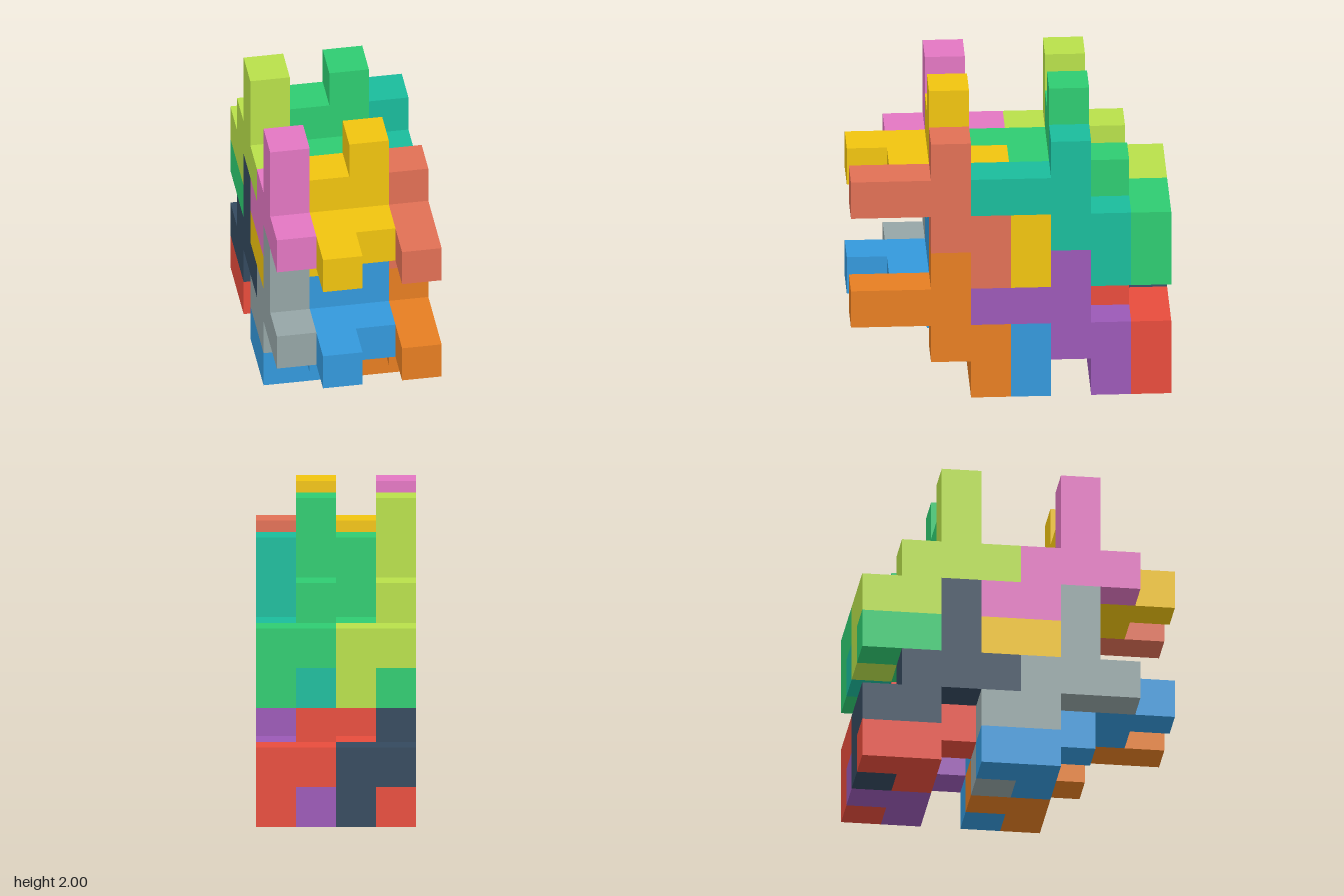
import * as THREE from 'three';
import { mergeGeometries } from 'three/addons/utils/BufferGeometryUtils.js';

const CELL = 0.25;

// Side profiles of one-cell-thick slices, as [y, z] cells.
const HOOK = [[2, 7], [2, 6], [2, 5], [1, 5], [3, 5], [1, 4], [0, 4]];
const STAIR = [[1, 3], [1, 4], [2, 4], [2, 5], [2, 6], [3, 5], [4, 5]];
const STUB = [[0, 3], [1, 3]];
const FOOT = [[0, 3], [0, 4]];
const PEG = [[0, 4], [0, 3]];

// Each interlocking piece: slice profile for every x column it occupies.
const PIECES = {
  core: [FOOT, HOOK, STAIR, STUB],
  leftClip: [[], [], PEG, HOOK],
  rightClip: [STAIR, STUB, [], []],
};

// Four copies: the lattice repeats every three cells upward and backward.
const COPIES = [
  { name: 'lowerFront', dy: 0, dz: 0, colors: { core: 0x3498db, leftClip: 0xe67e22, rightClip: 0x95a5a6 } },
  { name: 'lowerBack', dy: 0, dz: -3, colors: { core: 0xe74c3c, leftClip: 0x9b59b6, rightClip: 0x34495e } },
  { name: 'upperFront', dy: 3, dz: 0, colors: { core: 0xf1c40f, leftClip: 0xe17055, rightClip: 0xe377c2 } },
  { name: 'upperBack', dy: 3, dz: -3, colors: { core: 0x2ecc71, leftClip: 0x1abc9c, rightClip: 0xb8e04a } },
];

const DIRECTIONS = [[1, 0, 0], [-1, 0, 0], [0, 1, 0], [0, -1, 0], [0, 0, 1], [0, 0, -1]];

// One outward-facing square on a cell's side.
function cellFace(cell, dir) {
  const face = new THREE.PlaneGeometry(CELL, CELL);
  const normal = new THREE.Vector3(...dir);
  const turn = new THREE.Quaternion().setFromUnitVectors(new THREE.Vector3(0, 0, 1), normal);
  face.applyQuaternion(turn);
  const [x, y, z] = cell;
  return face.translate(
    (x - 1.5 + dir[0] / 2) * CELL,
    (y + 0.5 + dir[1] / 2) * CELL,
    (z - 3.5 + dir[2] / 2) * CELL
  );
}

// Closed skin of a piece: only sides with no neighbouring cell in that piece.
function pieceGeometry(slices) {
  const cells = slices.flatMap((slice, x) => slice.map(([y, z]) => [x, y, z]));
  const filled = new Set(cells.map(String));
  const faces = [];
  for (const cell of cells) {
    for (const dir of DIRECTIONS) {
      const neighbour = cell.map((v, i) => v + dir[i]);
      if (!filled.has(String(neighbour))) faces.push(cellFace(cell, dir));
    }
  }
  return mergeGeometries(faces);
}

export function createModel() {
  const model = new THREE.Group();
  model.name = 'interlockingBlocks';
  for (const [piece, slices] of Object.entries(PIECES)) {
    const geometry = pieceGeometry(slices);
    for (const { name, dy, dz, colors } of COPIES) {
      const material = new THREE.MeshStandardMaterial({ color: colors[piece] });
      const mesh = new THREE.Mesh(geometry, material);
      mesh.name = name + piece[0].toUpperCase() + piece.slice(1);
      mesh.position.set(0, dy * CELL, dz * CELL);
      model.add(mesh);
    }
  }
  return model;
}
